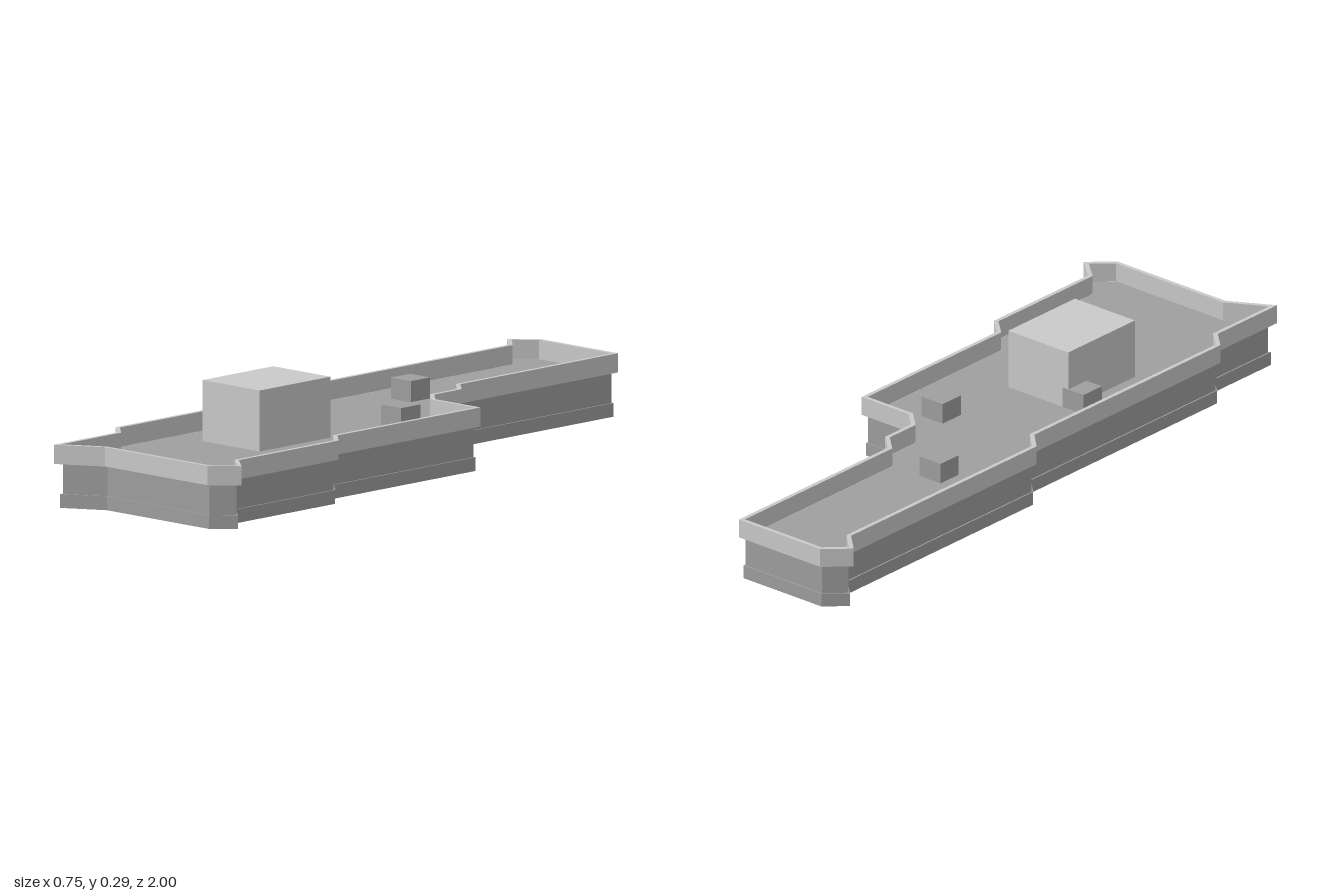
import * as THREE from 'three';

const wallGrey = new THREE.MeshStandardMaterial({ name: 'wallGrey', color: 0x9e9f9e, side: THREE.DoubleSide });
const lightGrey = new THREE.MeshStandardMaterial({ name: 'lightGrey', color: 0xcacaca, side: THREE.DoubleSide });

// Outer plan outline as [x, z]
const outline = [
  [-0.307, -1], [-0.015, -1], [-0.015, -0.386], [0.037, -0.337], [0.037, -0.23],
  [0.085, -0.185], [0.254, -0.185], [0.254, 0.372], [0.307, 0.422], [0.307, 0.81],
  [0.373, 0.868], [0.305, 0.93], [-0.08, 0.93], [-0.206, 1], [-0.206, 0.755],
  [-0.259, 0.705], [-0.259, -0.062], [-0.313, -0.115], [-0.313, -0.88], [-0.373, -0.938],
].map(([x, z]) => new THREE.Vector2(x, z));

// Outline moved inward by d with mitred corners
function inset(d) {
  const n = outline.length;
  const normal = (a, b) => new THREE.Vector2(b.y - a.y, a.x - b.x).normalize();
  return outline.map((p, i) => {
    const n1 = normal(outline[(i + n - 1) % n], p);
    const n2 = normal(p, outline[(i + 1) % n]);
    return p.clone().addScaledVector(n1.clone().add(n2), -d / (1 + n1.dot(n2)));
  });
}

// Sweep a profile of [inset, y] pairs around the outline
function band(name, profile, material) {
  const rings = profile.map(([d, y]) => inset(d).map((p) => [p.x, y, p.y]));
  const pos = [];
  for (let k = 0; k < rings.length - 1; k++) {
    for (let i = 0; i < outline.length; i++) {
      const j = (i + 1) % outline.length;
      const a = rings[k][i], b = rings[k][j], c = rings[k + 1][j], d = rings[k + 1][i];
      pos.push(...a, ...d, ...c, ...a, ...c, ...b);
    }
  }
  const geo = new THREE.BufferGeometry();
  geo.setAttribute('position', new THREE.Float32BufferAttribute(pos, 3));
  geo.computeVertexNormals();
  const mesh = new THREE.Mesh(geo, material);
  mesh.name = name;
  return mesh;
}

// Box standing on the roof
function roofBox(name, x, z, w, d, top, material) {
  const h = top - ROOF;
  const mesh = new THREE.Mesh(new THREE.BoxGeometry(w, h, d), material);
  mesh.position.set(x, ROOF + h / 2, z);
  mesh.name = name;
  return mesh;
}

const ROOF = 0.122;

export function createModel() {
  const model = new THREE.Group();
  model.name = 'building';

  // Plinth, wall and inner face; the underside stays open
  model.add(band('walls', [
    [0.015, ROOF], [0.015, 0], [0.009, 0], [0.009, 0.038], [0.013, 0.038], [0.013, ROOF],
  ], wallGrey));

  // Overhanging parapet
  model.add(band('parapet', [
    [0.013, ROOF], [0, ROOF], [0, 0.175], [0.012, 0.175], [0.012, ROOF],
  ], lightGrey));

  // Flat roof
  const shape = new THREE.Shape(inset(0.0125).map((p) => new THREE.Vector2(p.x, -p.y)));
  const roof = new THREE.Mesh(new THREE.ShapeGeometry(shape).rotateX(-Math.PI / 2), wallGrey);
  roof.position.y = ROOF;
  roof.name = 'roof';
  model.add(roof);

  // Rooftop room and vents
  model.add(roofBox('roofRoom', -0.036, 0.348, 0.215, 0.275, 0.29, lightGrey));
  [[-0.161, -0.342], [0.088, -0.047], [-0.161, 0.248]].forEach(([x, z], i) => {
    model.add(roofBox('vent' + (i + 1), x, z, 0.075, 0.075, 0.18, wallGrey));
  });

  return model;
}
